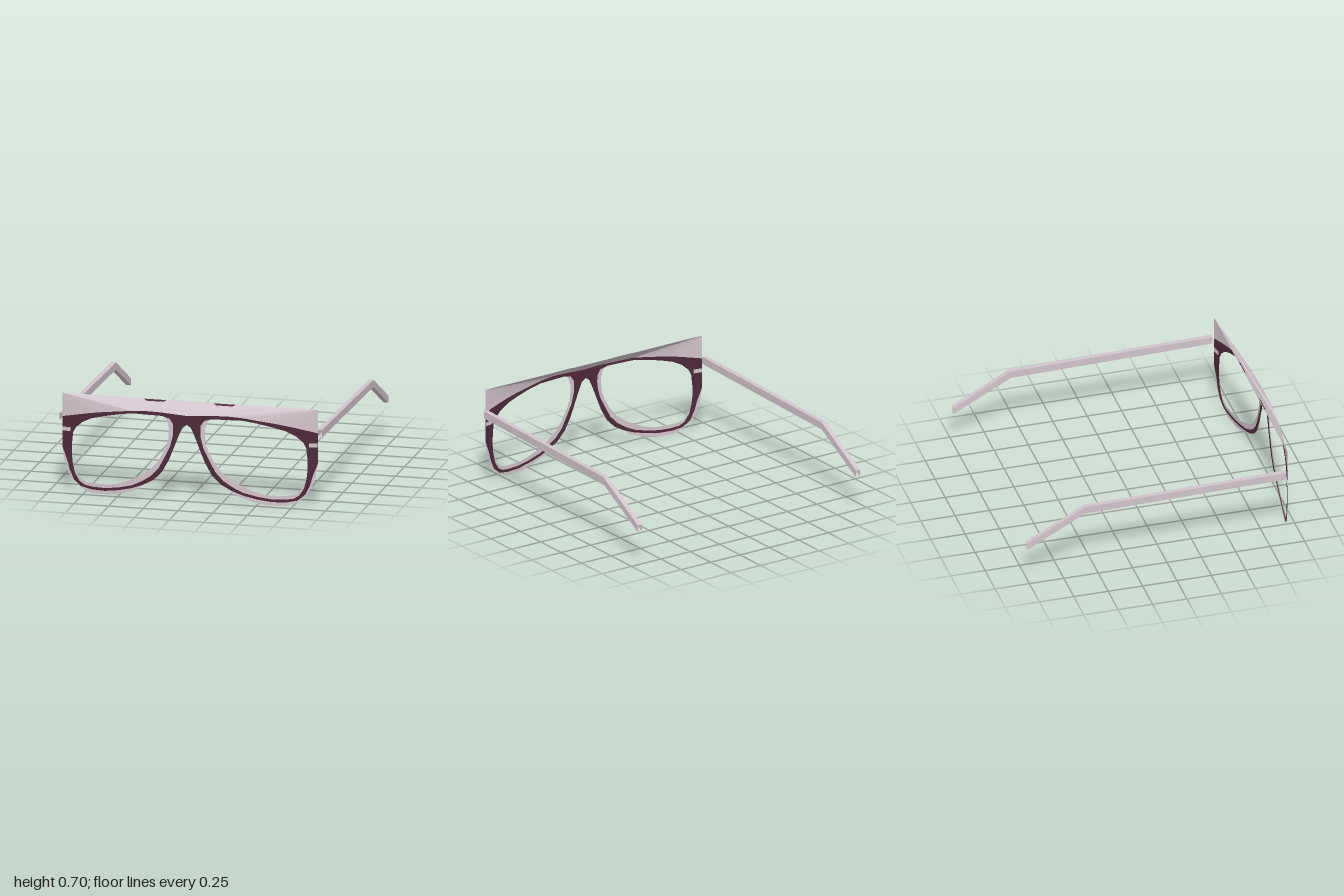
import * as THREE from 'three';

const light = new THREE.MeshStandardMaterial({ color: 0xd2c3cb, side: THREE.DoubleSide });
light.name = 'pale mauve';
const dark = new THREE.MeshStandardMaterial({ color: 0x4e2a3a, side: THREE.DoubleSide });
dark.name = 'dark plum';

// Outer edge of the dark rim, clockwise from the top of the bridge
const OUTER = [[0, .62], [.08, .625], [.2, .632], [.3, .632], [.4, .625], [.5, .61], [.62, .593], [.72, .575],
  [.82, .553], [.92, .53], [.92, .45], [.92, .38], [.92, .31], [.885, .22], [.865, .15], [.835, .085], [.78, .04],
  [.7, .025], [.6, .025], [.5, .04], [.4, .065], [.32, .095], [.24, .14], [.18, .2], [.13, .29], [.09, .39],
  [.055, .48], [.03, .535], [0, .555]];
// Inner edge of the dark rim, point for point
const INNER = [[.1, .555], [.125, .592], [.18, .607], [.3, .607], [.4, .607], [.5, .59], [.61, .565], [.7, .54],
  [.77, .505], [.82, .46], [.84, .42], [.848, .34], [.85, .27], [.842, .2], [.825, .13], [.79, .075], [.75, .053],
  [.69, .045], [.6, .045], [.5, .06], [.4, .085], [.33, .12], [.26, .165], [.205, .225], [.165, .3], [.12, .39],
  [.1, .47], [.098, .51], [.1, .54]];
// Lens opening, from row 13 round the bottom and nose to row 2
const OPENING = [[.842, .2], [.815, .135], [.78, .09], [.73, .075], [.66, .072], [.57, .073], [.48, .095],
  [.4, .13], [.33, .165], [.25, .225], [.2, .29], [.16, .36], [.135, .43], [.13, .49], [.13, .52], [.132, .535],
  [.135, .55], [.15, .59], [.18, .607]];
// Lower lip outside the dark rim, rows 12 to 21
const LIP = [[.92, .31], [.905, .21], [.88, .14], [.84, .08], [.78, .03], [.71, 0], [.57, 0], [.46, .025],
  [.36, .06], [.335, .085]];

// Bow of the front, and a point laid on it
const bow = (x) => 1 - 0.1 * (x / 0.92) ** 2;
const onBow = (side) => ([x, y]) => [side * x, y, bow(x)];

// Flat-shaded band between two matching rows of points
function strip(name, a, b, material, closed = false) {
  const pos = [];
  const n = a.length;
  for (let i = 0; i < (closed ? n : n - 1); i++) {
    const j = (i + 1) % n;
    pos.push(...a[i], ...b[i], ...a[j], ...a[j], ...b[i], ...b[j]);
  }
  const geo = new THREE.BufferGeometry();
  geo.setAttribute('position', new THREE.Float32BufferAttribute(pos, 3));
  geo.computeVertexNormals();
  const mesh = new THREE.Mesh(geo, material);
  mesh.name = name;
  return mesh;
}

function createHalf(side) {
  const half = new THREE.Group();
  half.name = side > 0 ? 'leftHalf' : 'rightHalf';
  const place = onBow(side);
  // keeps the front of each band toward +z on both halves
  const band = (name, a, b, mat, closed) => {
    const p = a.map(place), q = b.map(place);
    half.add(side > 0 ? strip(name, p, q, mat, closed) : strip(name, q, p, mat, closed));
  };
  band('rim', OUTER, INNER, dark, true);
  band('innerRim', [...INNER.slice(13), ...INNER.slice(0, 3)], OPENING, light);
  band('lowerLip', LIP, OUTER.slice(12, 22), light);

  // Small pin on the outer corner
  const pin = new THREE.Mesh(new THREE.BoxGeometry(0.06, 0.027, 0.008), light);
  pin.name = 'hingePin';
  pin.position.set(side * 0.888, 0.442, bow(0.888));
  pin.rotation.y = side * 0.207;
  half.add(pin);

  // Slit near the top of the brow
  const slit = [[.17, .698], [.33, .698]], slitLow = [[.19, .687], [.31, .687]];
  const onBrow = ([x, y]) => [side * x, y, 0.904 + (0.7 - y) * 0.95];
  const top = slit.map(onBrow), low = slitLow.map(onBrow);
  half.add(side > 0 ? strip('browSlit', top, low, dark) : strip('browSlit', low, top, dark));

  // Temple arm: open square tube bent down behind the ear
  const sections = [[0.885, 0.497, 0.55], [-0.58, 0.47, 0.522], [-1, 0.243, 0.295]].map(([z, lo, hi]) =>
    [[.91, lo], [.945, lo], [.945, hi], [.91, hi]].map(([x, y]) => [side * x, y, z]));
  const arm = new THREE.Group();
  arm.name = 'templeArm';
  for (let i = 0; i < 2; i++) {
    const [p, q] = side > 0 ? [sections[i], sections[i + 1]] : [sections[i + 1], sections[i]];
    arm.add(strip(i ? 'earHook' : 'armBar', p, q, light, true));
  }
  half.add(arm);
  return half;
}

export function createModel() {
  const model = new THREE.Group();
  model.name = 'glasses';
  model.add(createHalf(1), createHalf(-1));

  // Sloping brow: fans from the two upper corners down to the rim
  const edge = OUTER.slice(0, 10);
  const low = [...edge.slice(1).reverse().map(onBow(-1)), ...edge.map(onBow(1))];
  const split = low.findIndex((p) => p[0] > -0.45);
  const corner = (s) => [s * 0.92, 0.7, 0.9];
  const tops = low.map((p, i) => corner(i < split ? -1 : 1));
  low.splice(split, 0, low[split]);
  tops.splice(split, 0, corner(-1));
  model.add(strip('brow', tops, low, light));
  return model;
}
